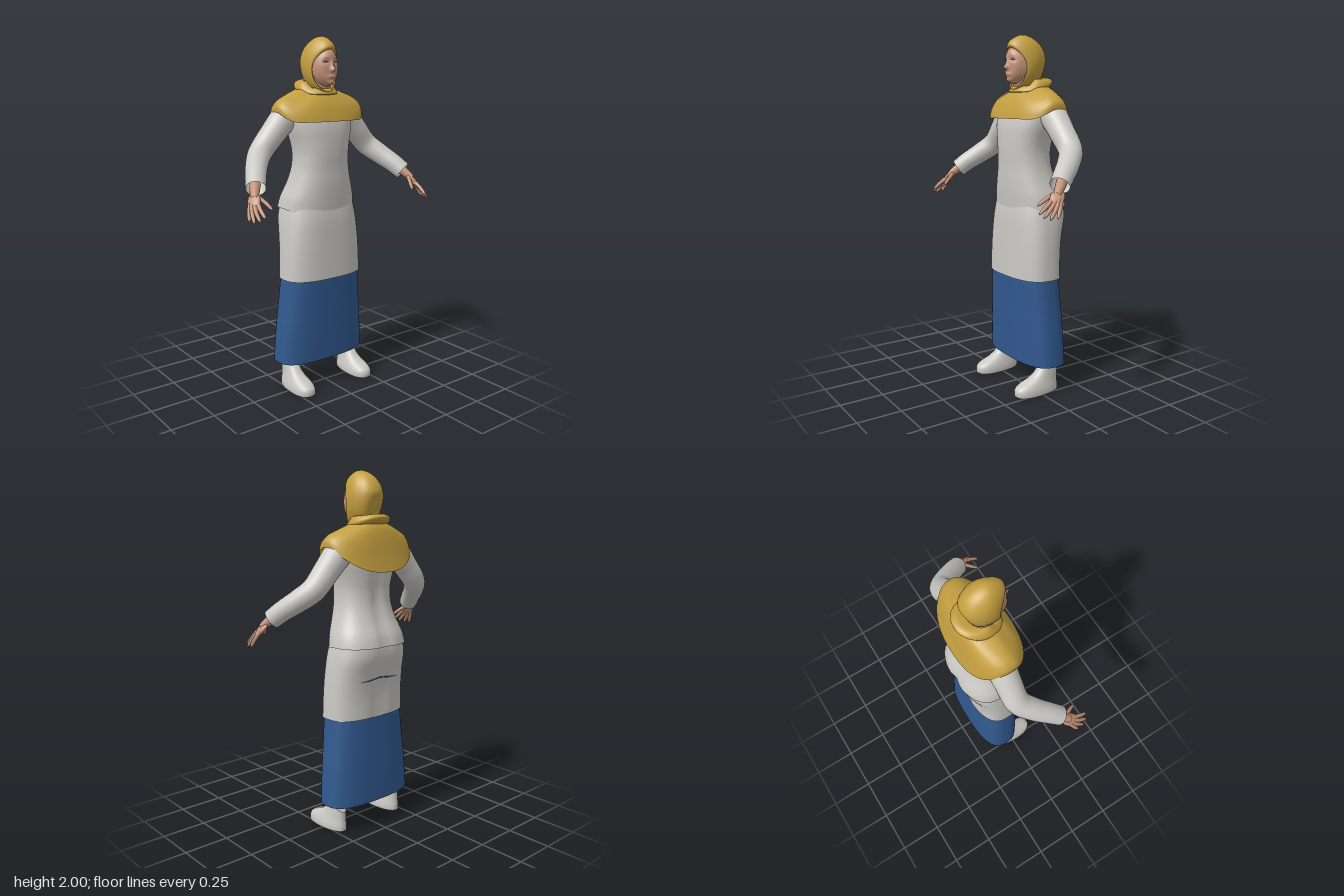
import * as THREE from 'three';

const mat = (name, color) => {
  const m = new THREE.MeshStandardMaterial({ color, side: THREE.DoubleSide });
  m.name = name;
  return m;
};

// Smoothly subdivide rows of numbers
function refine(rows, k) {
  const out = [];
  for (let i = 0; i < rows.length - 1; i++) {
    const a = rows[Math.max(i - 1, 0)], b = rows[i], c = rows[i + 1], d = rows[Math.min(i + 2, rows.length - 1)];
    for (let j = 0; j < k; j++) {
      const t = j / k;
      out.push(b.map((v, n) => {
        const cubic = 3 * (v - c[n]) + d[n] - a[n];
        const square = 2 * a[n] - 5 * v + 4 * c[n] - d[n];
        return v + 0.5 * t * (c[n] - a[n] + t * (square + t * cubic));
      }));
    }
  }
  out.push(rows[rows.length - 1]);
  return out;
}

// Surface through closed rings; point(row, angle) gives each vertex
function loft(rows, segs, point) {
  const pos = [], idx = [];
  rows.forEach((r, i) => {
    for (let j = 0; j < segs; j++) {
      pos.push(...point(r, j / segs * Math.PI * 2));
      if (i) {
        const a = (i - 1) * segs + j, b = (i - 1) * segs + (j + 1) % segs;
        idx.push(a, b, a + segs, b, b + segs, a + segs);
      }
    }
  });
  const g = new THREE.BufferGeometry();
  g.setAttribute('position', new THREE.Float32BufferAttribute(pos, 3));
  g.setIndex(idx);
  g.computeVertexNormals();
  return g;
}

const pw = (v, e) => Math.sign(v) * Math.abs(v) ** e;

// Garment ring: [halfWidth, ySide, zFront, zBack, yFront, yBack]
function shell(rows, { n = 2.4, k = 4, segs = 48, dent = 0, taper = 0 } = {}) {
  const full = rows.map(r => (r.length === 4 ? [...r, r[1], r[1]] : r));
  return loft(refine(full, k), segs, ([hw, ys, zf, zb, yf, yb], t) => {
    const s = Math.sin(t), sp = pw(s, 2 / n);
    const x = hw * pw(Math.cos(t), 2 / n) * (1 + taper * s);
    let z = (zf + zb) / 2 + (zf - zb) / 2 * sp;
    if (s < 0) z += dent * Math.exp(-((x / 0.035) ** 2));
    const w = s > 0 ? THREE.MathUtils.smoothstep(s, 0, 0.75) : Math.abs(s) ** 1.5;
    return [x, ys + ((s > 0 ? yf : yb) - ys) * w, z];
  });
}

// Tube whose radius follows a list of values
function limb(points, radii, segs = 20, sides = 16) {
  const curve = new THREE.CatmullRomCurve3(points.map(p => new THREE.Vector3(...p)));
  const g = new THREE.TubeGeometry(curve, segs, 1, sides);
  const p = g.attributes.position, v = new THREE.Vector3();
  for (let i = 0; i <= segs; i++) {
    const c = curve.getPointAt(i / segs), f = i / segs * (radii.length - 1);
    const a = Math.min(Math.floor(f), radii.length - 2);
    const r = THREE.MathUtils.lerp(radii[a], radii[a + 1], f - a);
    for (let j = 0; j <= sides; j++) {
      const q = i * (sides + 1) + j;
      v.fromBufferAttribute(p, q).sub(c).multiplyScalar(r).add(c);
      p.setXYZ(q, v.x, v.y, v.z);
    }
  }
  return g;
}

// Depth of the face at x, y
const bump = (x, y, cx, cy, sx, sy) => Math.exp(-(((x - cx) / sx) ** 2) - ((y - cy) / sy) ** 2);
function faceZ(x, y) {
  const ax = Math.abs(x), r2 = (x / 0.08) ** 2 + ((y - 1.835) / 0.102) ** 2;
  return 0.064 - 0.03 * (x / 0.08) ** 2 - 0.045 * r2 ** 3
    + 0.024 * bump(x, y, 0, 1.822, 0.012, 0.013) + 0.012 * bump(x, y, 0, 1.845, 0.009, 0.022)
    - 0.009 * bump(ax, y, 0.034, 1.862, 0.018, 0.011)
    + 0.011 * bump(x, y, 0, 1.782, 0.024, 0.012) + 0.018 * bump(x, y, 0, 1.75, 0.024, 0.014);
}

// Elliptical patch lying on the face
const facePatch = (cx, cy, rx, ry, lift, rings = 3, segs = 20) =>
  loft(Array.from({ length: rings + 1 }, (_, i) => [Math.max(i / rings, 0.001)]), segs, ([r], t) => {
    const x = cx + rx * r * Math.cos(t), y = cy + ry * r * Math.sin(t);
    return [x, y, faceZ(x, y) + lift];
  });

export function createModel() {
  const model = new THREE.Group();
  const scarf = mat('mustard scarf', 0xc49f40), cloth = mat('light grey cloth', 0xcbc9c4);
  const blue = mat('blue skirt cloth', 0x31598f), skin = mat('skin', 0xc4937a);
  const lip = mat('lips', 0xa96e60), dark = mat('dark lashes', 0x3a3f52), brow = mat('brows', 0x94705e);
  const add = (name, geo, material, parent = model) => {
    const m = new THREE.Mesh(geo, material);
    m.name = name;
    parent.add(m);
    return m;
  };

  // Long skirt, tunic and bodice
  add('skirt', shell([[0.29, 0.16, 0.06, -0.2], [0.278, 0.35, 0.066, -0.193], [0.262, 0.5, 0.07, -0.186],
    [0.247, 0.66, 0.075, -0.178], [0.24, 0.74, 0.074, -0.176]], { n: 2.8 }), blue);
  add('tunic', shell([[0.255, 0.655, 0.087, -0.189], [0.25, 0.79, 0.084, -0.191], [0.243, 0.9, 0.081, -0.207],
    [0.232, 1.0, 0.077, -0.234], [0.215, 1.08, 0.066, -0.232]], { n: 2.7, dent: 0.01 }), cloth);
  add('bodice', shell([[0.232, 1.06, 0.07, -0.25, 1.04, 1.06], [0.22, 1.12, 0.076, -0.235], [0.191, 1.2, 0.08, -0.2],
    [0.17, 1.28, 0.08, -0.177], [0.164, 1.36, 0.083, -0.172], [0.174, 1.43, 0.083, -0.18],
    [0.195, 1.51, 0.077, -0.188], [0.195, 1.58, 0.058, -0.187], [0.12, 1.66, 0.01, -0.165]],
  { n: 2.4, dent: 0.015 }), cloth);
  // Thin seam across the back of the tunic
  add('backSeam', limb([[-0.14, 0.87, -0.192], [-0.07, 0.875, -0.201], [0, 0.88, -0.194],
    [0.07, 0.875, -0.201], [0.14, 0.87, -0.192]], [0.001, 0.004, 0.004, 0.001], 24, 6), blue);

  // Cape and neck fold of the headscarf
  add('cape', shell([[0.09, 1.725, 0.01, -0.16, 1.7, 1.735], [0.17, 1.697, 0.035, -0.19, 1.67, 1.69],
    [0.245, 1.667, 0.06, -0.208, 1.63, 1.62], [0.28, 1.635, 0.078, -0.222, 1.585, 1.545],
    [0.284, 1.6, 0.09, -0.24, 1.545, 1.465]], { n: 2.4 }), scarf);
  add('neckFold', shell([[0.098, 1.7, 0.015, -0.17, 1.685, 1.715], [0.118, 1.712, 0.032, -0.2, 1.69, 1.735],
    [0.114, 1.735, 0.028, -0.212, 1.705, 1.757], [0.098, 1.755, 0.01, -0.185, 1.722, 1.77],
    [0.08, 1.76, -0.005, -0.14, 1.72, 1.765]], { n: 2.1 }), scarf);

  // Hood: rings from the face opening to the back, [halfWidth, yTop, yBottom, zTop, zSide, zBottom]
  const hoodRows = [[0.078, 1.93, 1.712, 0.05, -0.012, 0.022], [0.085, 1.944, 1.703, 0.058, -0.008, 0.03],
    [0.092, 1.968, 1.695, 0.042, -0.022, 0.01], [0.096, 1.993, 1.69, 0.0, -0.045, -0.03],
    [0.095, 2.0, 1.7, -0.04, -0.075, -0.08], [0.087, 1.985, 1.72, -0.09, -0.105, -0.115],
    [0.068, 1.955, 1.77, -0.132, -0.14, -0.138], [0.036, 1.915, 1.84, -0.16, -0.163, -0.158],
    [0.001, 1.881, 1.879, -0.17, -0.17, -0.17]];
  add('hood', loft(refine(hoodRows, 3), 40, ([hw, yt, yb, zt, zs, zb], t) => {
    const s = Math.sin(t);
    return [hw * Math.cos(t), (yt + yb) / 2 + (yt - yb) / 2 * s, zs + ((s > 0 ? zt : zb) - zs) * s * s];
  }), scarf);

  // Face and neck
  const head = new THREE.Group();
  head.name = 'head';
  model.add(head);
  add('face', facePatch(0, 1.835, 0.081, 0.103, 0, 26, 56), skin, head);
  add('neck', limb([[0, 1.66, -0.06], [0, 1.72, -0.045], [0, 1.78, -0.035]], [0.06, 0.056, 0.06]), skin, head);
  add('mouth', facePatch(0, 1.782, 0.021, 0.007, 0.0015), lip, head);
  for (const s of [1, -1]) {
    add('eye', facePatch(s * 0.034, 1.863, 0.015, 0.0045, 0.0015), dark, head);
    add('eyebrow', facePatch(s * 0.036, 1.883, 0.019, 0.0025, 0.0015), brow, head);
  }

  for (const s of [1, -1]) {
    const side = s > 0 ? 'left' : 'right', flip = pts => pts.map(([x, y, z]) => [x * s, y, z]);

    // Sleeve
    add(side + 'Sleeve', limb(flip([[0.14, 1.6, -0.09], [0.21, 1.563, -0.09], [0.29, 1.48, -0.09],
      [0.375, 1.385, -0.083], [0.435, 1.325, -0.025], [0.485, 1.27, 0.045], [0.515, 1.228, 0.092]]),
    [0.07, 0.076, 0.07, 0.066, 0.062, 0.057, 0.053], 36, 24), cloth);

    // Hand: palm, four fingers and a thumb
    const hand = new THREE.Group();
    hand.name = side + 'Hand';
    model.add(hand);
    add('wrist', limb(flip([[0.505, 1.245, 0.07], [0.53, 1.215, 0.105], [0.55, 1.185, 0.135]]),
      [0.03, 0.026, 0.02], 8, 12), skin, hand);
    const palm = add('palm', new THREE.SphereGeometry(1, 20, 14), skin, hand);
    palm.position.set(0.553 * s, 1.175, 0.135);
    palm.up.set(0.47 * s, 0.39, 0.165);
    palm.lookAt(0.583 * s, 1.105, 0.215);
    palm.scale.set(0.036, 0.016, 0.052);
    const fingers = [
      [[0.547, 1.17, 0.155], [0.556, 1.14, 0.198], [0.556, 1.1, 0.248]],
      [[0.557, 1.165, 0.145], [0.575, 1.128, 0.188], [0.58, 1.083, 0.238]],
      [[0.565, 1.165, 0.135], [0.586, 1.124, 0.168], [0.598, 1.073, 0.21]],
      [[0.568, 1.165, 0.125], [0.59, 1.124, 0.145], [0.603, 1.077, 0.168]],
      [[0.535, 1.2, 0.12], [0.508, 1.168, 0.165], [0.488, 1.13, 0.21]],
    ];
    fingers.forEach((f, i) => add(i < 4 ? 'finger' : 'thumb',
      limb(flip(f), [0.013, 0.013, 0.012, 0.011, 0.011, 0.01, 0.009, 0.001], 16, 10), skin, hand));

    // Ankle shoe
    const shoe = shell([[0.001, 0, 0.01, 0.009], [0.058, 0, 0.143, -0.125], [0.063, 0.006, 0.15, -0.13],
      [0.062, 0.032, 0.151, -0.13], [0.058, 0.05, 0.143, -0.128], [0.052, 0.067, 0.115, -0.127],
      [0.046, 0.085, 0.065, -0.127], [0.041, 0.11, 0.025, -0.128], [0.037, 0.145, -0.005, -0.13, 0.145, 0.118]],
    { k: 1, segs: 32, n: 2.3, taper: 0.12 });
    shoe.translate(0.209 * s, 0, 0);
    add(side + 'Shoe', shoe, cloth);
  }
  return model;
}
